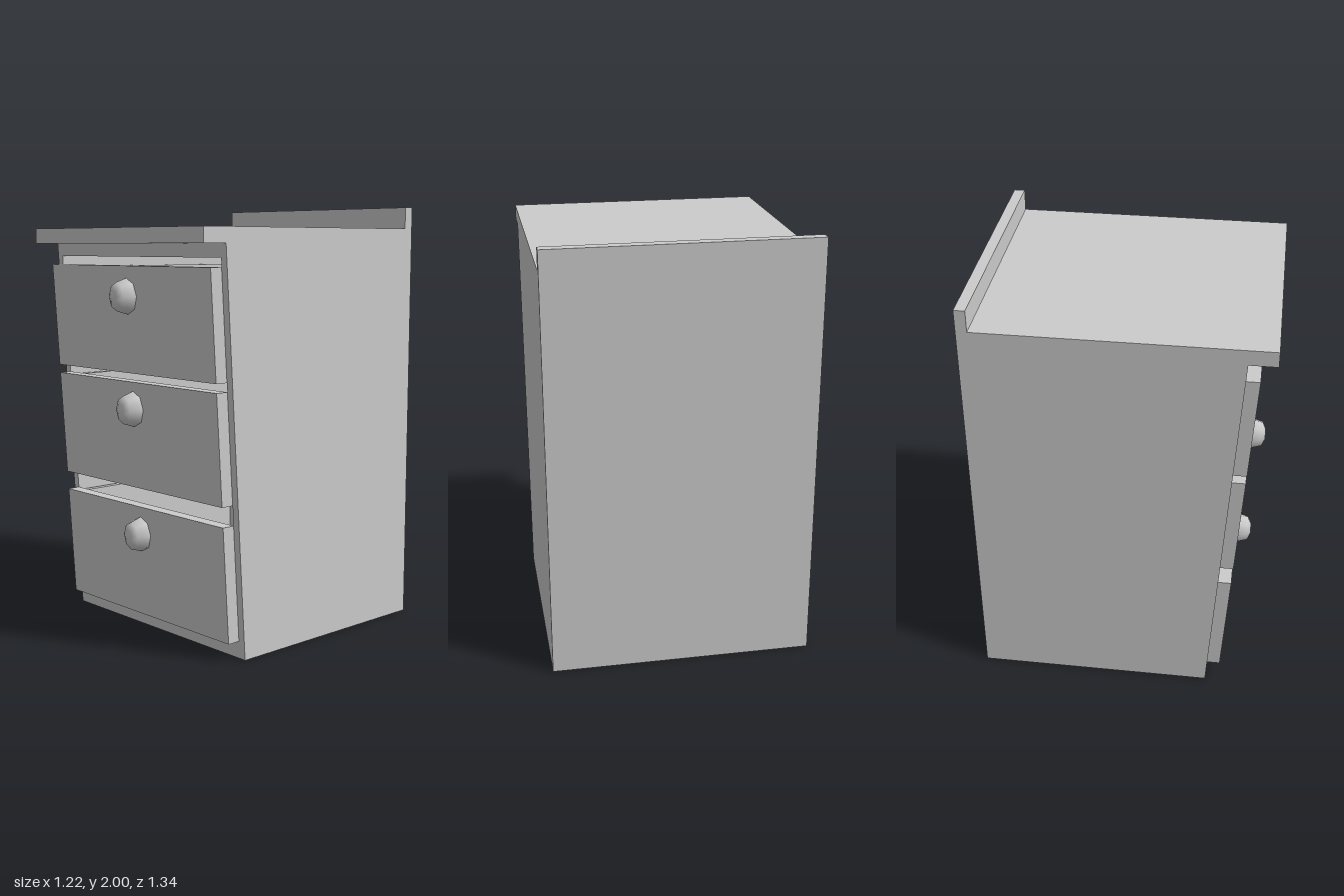
import * as THREE from 'three';

const grey = new THREE.MeshStandardMaterial({ color: 0xcccccc });
const greyFlat = new THREE.MeshStandardMaterial({ color: 0xcccccc, flatShading: true, side: THREE.DoubleSide });

const HALF_W = 0.61, INNER = 0.575, BACK = -0.67;
const BASE = 0.08, UNDER_TOP = 1.83;

// The cabinet front leans outward as it rises
const frontZ = (y) => 0.43 + (0.115 * y) / UNDER_TOP;

function add(parent, name, geometry, material = grey) {
  const mesh = new THREE.Mesh(geometry, material);
  mesh.name = name;
  parent.add(mesh);
  return mesh;
}

// Side profile of [z, y] points swept across from x0 to x1
function sweep(points, x0, x1) {
  const shape = new THREE.Shape(points.map(([z, y]) => new THREE.Vector2(z, y)));
  const geo = new THREE.ExtrudeGeometry(shape, { depth: x1 - x0, bevelEnabled: false });
  return geo.rotateY(-Math.PI / 2).translate(x1, 0, 0);
}

function box(x0, x1, y0, y1, z0, z1) {
  return new THREE.BoxGeometry(x1 - x0, y1 - y0, z1 - z0)
    .translate((x0 + x1) / 2, (y0 + y1) / 2, (z0 + z1) / 2);
}

// Slanted slab following the cabinet front, between two offsets from it
const slantedSlab = (y0, y1, inner, outer, halfWidth) => sweep([
  [frontZ(y0) + inner, y0], [frontZ(y0) + outer, y0],
  [frontZ(y1) + outer, y1], [frontZ(y1) + inner, y1],
], -halfWidth, halfWidth);

// Thin open skirt around the hollow underside
function skirtGeometry() {
  const positions = [], index = [];
  for (const y of [0, BASE]) {
    const f = frontZ(y);
    positions.push(-HALF_W, y, f, HALF_W, y, f, HALF_W, y, BACK, -HALF_W, y, BACK);
  }
  for (let i = 0; i < 4; i++) {
    const j = (i + 1) % 4;
    index.push(i, j, j + 4, i, j + 4, i + 4);
  }
  const geo = new THREE.BufferGeometry();
  geo.setAttribute('position', new THREE.Float32BufferAttribute(positions, 3));
  geo.setIndex(index);
  geo.computeVertexNormals();
  return geo;
}

// Eight-sided rounded knob facing +z
function knobGeometry() {
  const profile = [[0.083, -0.02], [0.081, 0.015], [0.064, 0.07], [0.028, 0.085], [0, 0.086]];
  return new THREE.LatheGeometry(profile.map(([r, h]) => new THREE.Vector2(r, h)), 8)
    .rotateX(Math.PI / 2).scale(0.82, 1, 1);
}

function createDrawer(y0, y1, knobY) {
  const drawer = new THREE.Group();
  drawer.name = 'drawer';
  const face = 0.062, wall = 0.03, back = -0.56, half = INNER - 0.015;
  const rim = y1 - 0.01, low = y0 + 0.02;
  add(drawer, 'drawerFront', slantedSlab(y0, y1, 0, face, INNER));

  // Open-topped tray behind the front
  const tray = [[back, low], [frontZ(low), low], [frontZ(rim), rim], [back, rim]];
  add(drawer, 'drawerSideLeft', sweep(tray, half - wall, half));
  add(drawer, 'drawerSideRight', sweep(tray, -half, wall - half));
  add(drawer, 'drawerBack', box(wall - half, half - wall, low, rim, back, back + wall));
  add(drawer, 'drawerBottom', box(wall - half, half - wall, low, low + 0.02, back + wall, frontZ(low)));

  const knob = add(drawer, 'knob', knobGeometry());
  knob.position.set(0, knobY, frontZ(knobY) + face - 0.006);
  return drawer;
}

export function createModel() {
  const model = new THREE.Group();
  model.name = 'drawerCabinet';

  // Cabinet shell
  const side = [[BACK, BASE], [frontZ(BASE), BASE], [frontZ(UNDER_TOP), UNDER_TOP], [BACK, UNDER_TOP]];
  add(model, 'leftSide', sweep(side, INNER, HALF_W));
  add(model, 'rightSide', sweep(side, -HALF_W, -INNER));
  add(model, 'backPanel', box(-INNER, INNER, BASE, UNDER_TOP, BACK, BACK + 0.035));
  add(model, 'floor', box(-INNER, INNER, BASE, BASE + 0.005, BACK + 0.035, frontZ(BASE)));
  add(model, 'topRail', slantedSlab(1.77, UNDER_TOP, -0.035, 0, INNER));
  add(model, 'baseSkirt', skirtGeometry(), greyFlat);

  // Worktop with raised back lip, as one profile
  add(model, 'worktop', sweep([
    [BACK, UNDER_TOP], [0.67, UNDER_TOP], [0.67, 1.9], [-0.62, 1.9], [-0.62, 2], [BACK, 2],
  ], -HALF_W, HALF_W));

  // Drawers: bottom, top and knob height
  for (const [y0, y1, knobY] of [[0.08, 0.61, 0.48], [0.7, 1.2, 1.075], [1.24, 1.73, 1.593]]) {
    model.add(createDrawer(y0, y1, knobY));
  }
  return model;
}
